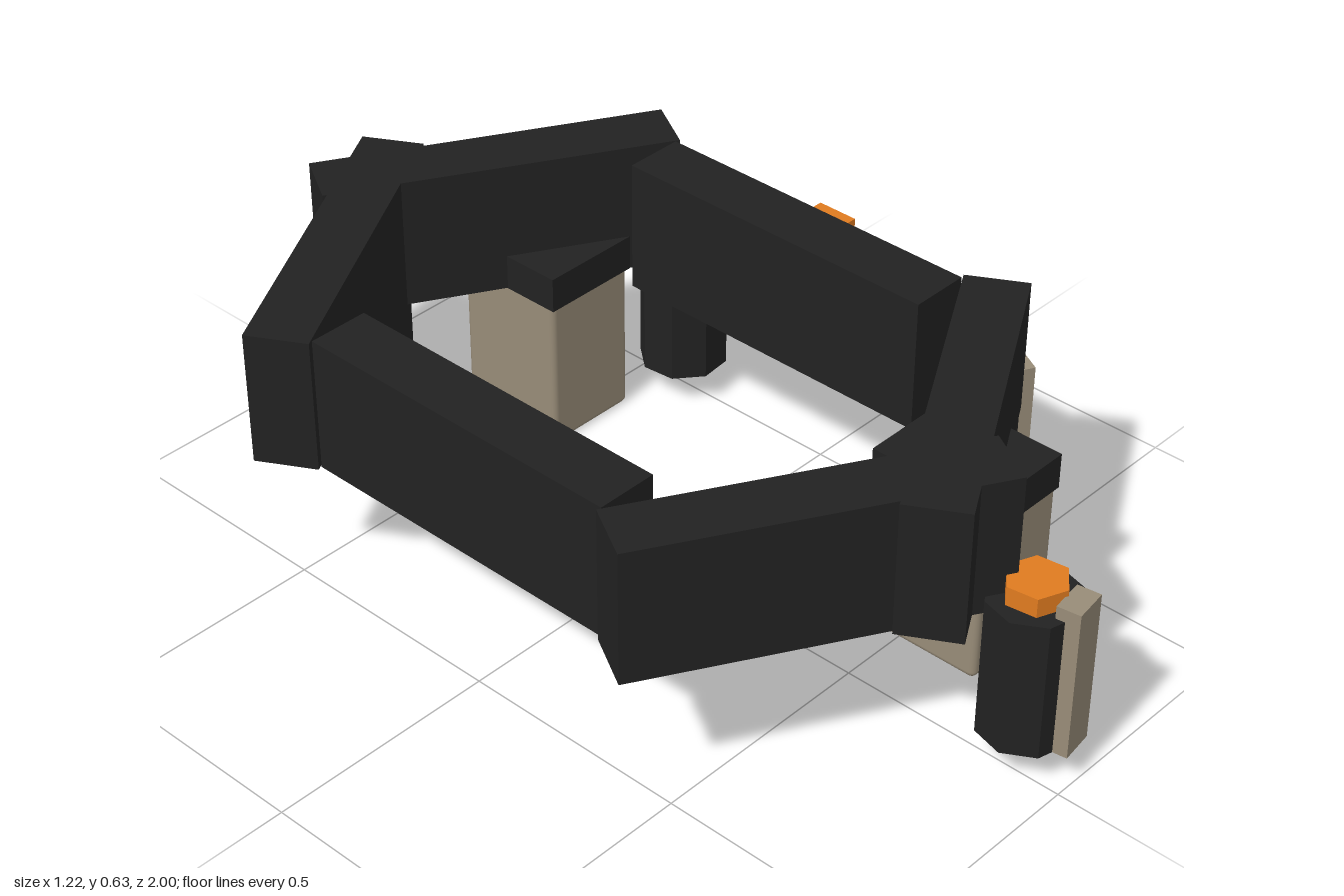
import * as THREE from 'three';
import { RoundedBoxGeometry } from 'three/addons/geometries/RoundedBoxGeometry.js';

export function createModel() {
  const model = new THREE.Group();
  model.name = 'utilityBelt';

  const makeMaterial = (name, color) => {
    const m = new THREE.MeshStandardMaterial({ color });
    m.name = name;
    return m;
  };
  const black = makeMaterial('blackLeather', 0x222222);
  const orange = makeMaterial('orangeMetal', 0xe07b20);
  const tan = makeMaterial('tanCanvas', 0x988c78);

  const add = (parent, name, geometry, material, x, y, z, turn = 0) => {
    const mesh = new THREE.Mesh(geometry, material);
    mesh.name = name;
    mesh.position.set(x, y, z);
    mesh.rotation.y = turn;
    parent.add(mesh);
    return mesh;
  };

  // Belt: two straight sides and four slanted segments that cross at the tips
  const beltY = 0.4875;
  const segment = new THREE.BoxGeometry(0.742, 0.289, 0.13);
  add(model, 'beltRearSegment', segment, black, -0.475, beltY, 0, Math.PI / 2);
  add(model, 'beltBuckleSegment', segment, black, 0.385, beltY, 0, Math.PI / 2);
  for (const side of [1, -1]) {
    add(model, 'beltSlantedSegment', segment, black, -0.261, beltY, side * 0.61, -side * Math.PI / 6);
    add(model, 'beltSlantedSegment', segment, black, 0.171, beltY, side * 0.61, side * Math.PI / 6);
  }

  // Buckle plate with its catch
  add(model, 'bucklePlate', new RoundedBoxGeometry(0.06, 0.2, 0.26, 2, 0.012), orange, 0.456, 0.489, 0);
  add(model, 'buckleCatch', new THREE.BoxGeometry(0.06, 0.045, 0.09), orange, 0.495, 0.567, 0);

  // Canister: eight-sided tube, six-sided cap and an outer clip along local +z
  const tubeGeometry = new THREE.CylinderGeometry(0.095, 0.095, 0.305, 8).toNonIndexed();
  tubeGeometry.computeVertexNormals();
  const capGeometry = new THREE.CylinderGeometry(0.064, 0.064, 0.05, 6).toNonIndexed();
  capGeometry.computeVertexNormals();
  const clipGeometry = new THREE.BoxGeometry(0.075, 0.333, 0.05);
  const addCanister = (x, z, turn) => {
    const canister = new THREE.Group();
    canister.name = 'canister';
    canister.position.set(x, 0, z);
    canister.rotation.y = turn;
    add(canister, 'canisterTube', tubeGeometry, black, 0, 0.2275, 0);
    add(canister, 'canisterCap', capGeometry, orange, 0, 0.396, 0);
    add(canister, 'canisterClip', clipGeometry, tan, 0, 0.2415, 0.085);
    model.add(canister);
  };

  const pouchGeometry = new RoundedBoxGeometry(0.222, 0.36, 0.258, 2, 0.014);
  const lidGeometry = new THREE.BoxGeometry(0.228, 0.078, 0.27);
  for (const side of [1, -1]) {
    // Angles are measured from +z towards +x
    const tip = 0.14, flank = 1.08;
    addCanister(0.04, side * 0.885, side > 0 ? tip : Math.PI - tip);
    addCanister(0.495, side * 0.388, side > 0 ? flank : Math.PI - flank);

    // Pouch hanging under the slanted segment
    add(model, 'pouchBody', pouchGeometry, tan, 0.255, 0.18, side * 0.559);
    add(model, 'pouchLid', lidGeometry, black, 0.253, 0.381, side * 0.557);
  }

  return model;
}
